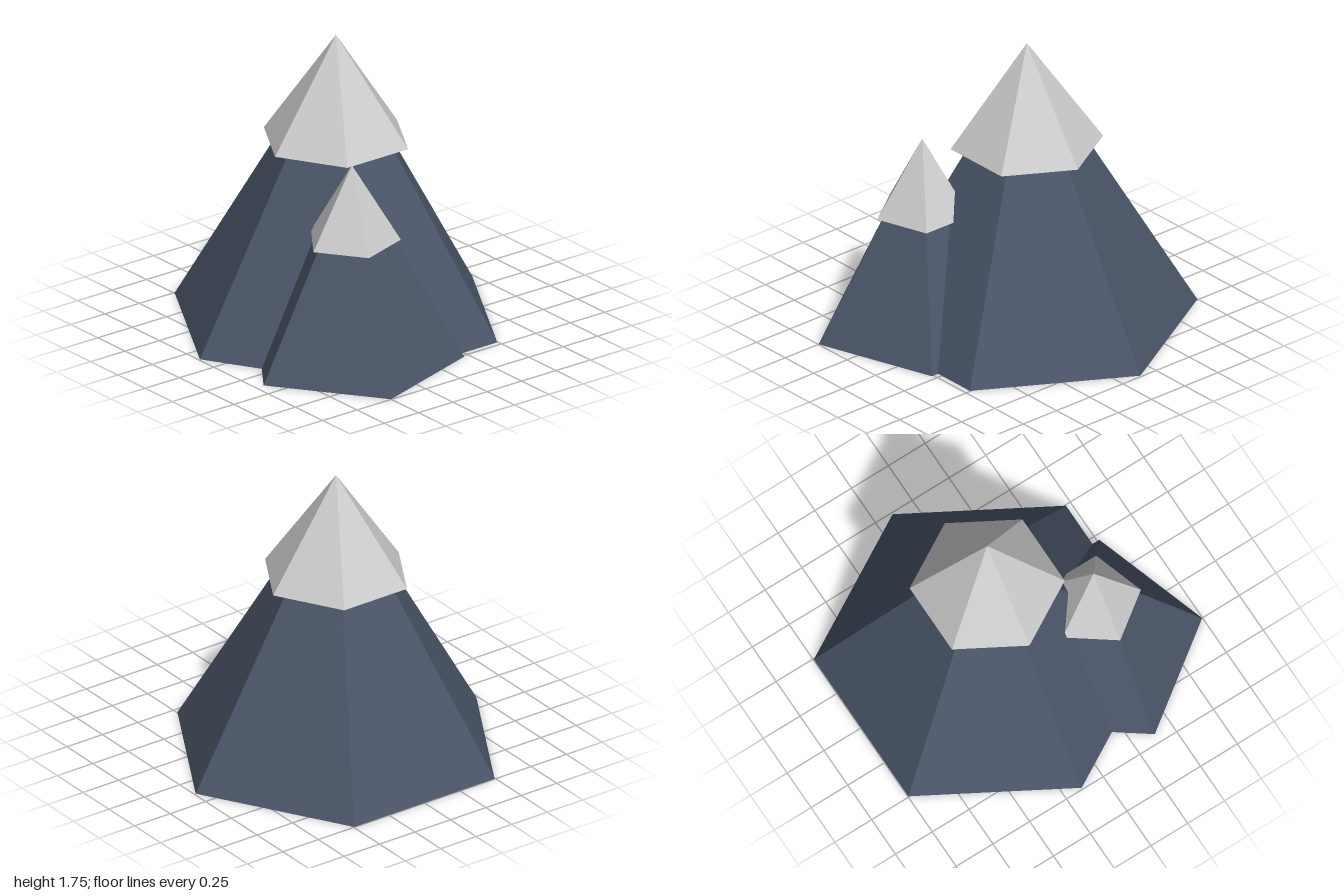
import * as THREE from 'three';

const rock = new THREE.MeshStandardMaterial({ color: 0x4a5568, flatShading: true });
const snow = new THREE.MeshStandardMaterial({ color: 0xffffff, flatShading: true });

// Closed faceted cone standing on its base height, first corner towards +z
function cone(name, radius, baseY, topY, sides, material) {
  const geometry = new THREE.ConeGeometry(radius, topY - baseY, sides);
  geometry.translate(0, (baseY + topY) / 2, 0);
  const mesh = new THREE.Mesh(geometry, material);
  mesh.name = name;
  return mesh;
}

// A rocky peak with an overhanging snow cap
function peak(name, x, z, sides, body, cap) {
  const group = new THREE.Group();
  group.name = name;
  group.position.set(x, 0, z);
  group.add(
    cone(name + 'Rock', body.radius, 0, body.top, sides, rock),
    cone(name + 'SnowCap', cap.radius, cap.base, cap.top, sides, snow)
  );
  return group;
}

export function createModel() {
  const model = new THREE.Group();
  model.name = 'mountain';
  model.add(
    peak('mainPeak', -0.14, 0, 6, { radius: 0.99, top: 1.7 }, { radius: 0.443, base: 1.11, top: 1.75 }),
    peak('sidePeak', 0.387, 0.302, 5, { radius: 0.642, top: 1.18 }, { radius: 0.28, base: 0.73, top: 1.195 })
  );
  return model;
}
